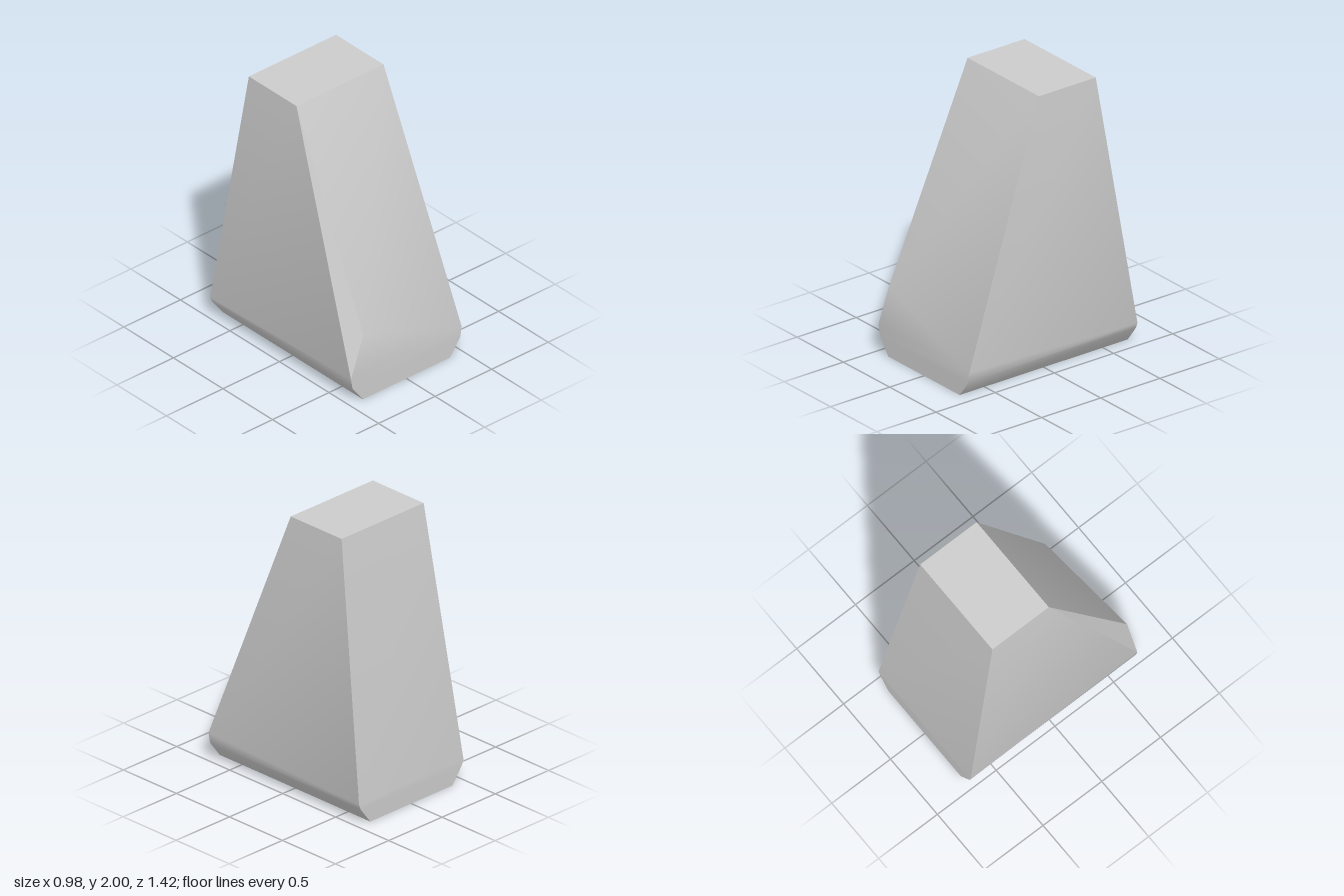
import * as THREE from 'three';
import { toCreasedNormals } from 'three/addons/utils/BufferGeometryUtils.js';

// Each ring: half width, front z, back z, front y, back y
const RINGS = [
  [0.385, 0.71, -0.71, 0, 0],
  [0.475, 0.71, -0.71, 0.12, 0.12],
  [0.49, 0.71, -0.71, 0.2, 0.16],
  [0.385, 0.04, -0.44, 2, 2],
];

export function createModel() {
  const stone = new THREE.MeshStandardMaterial({ color: 0xcccccc });
  stone.name = 'lightGrey';

  // Four corners per ring, anticlockwise seen from above, starting front +x
  const points = [];
  for (const [w, zf, zb, yf, yb] of RINGS) {
    points.push(w, yf, zf, w, yb, zb, -w, yb, zb, -w, yf, zf);
  }
  // Extra point of the chipped front corner
  const chip = points.length / 3;
  points.push(-0.38, 0.51, 0.71);

  const faces = [0, 2, 1, 0, 3, 2]; // underside
  const last = RINGS.length - 1;
  for (let r = 0; r < last; r++) {
    for (let i = 0; i < 4; i++) {
      const a = r * 4 + i, b = r * 4 + (i + 1) % 4;
      const c = b + 4, d = a + 4;
      if (r === last - 1 && i === 3) {
        // sloping front, with the chipped corner
        faces.push(a, b, chip, chip, b, c, chip, c, d, a, chip, d);
      } else {
        faces.push(a, b, c, a, c, d);
      }
    }
  }
  const t = last * 4;
  faces.push(t, t + 1, t + 2, t, t + 2, t + 3); // flat top

  const geometry = new THREE.BufferGeometry();
  geometry.setAttribute('position', new THREE.Float32BufferAttribute(points, 3));
  geometry.setIndex(faces);

  // Soft bevels and front bend, sharp main edges
  const block = new THREE.Mesh(toCreasedNormals(geometry, THREE.MathUtils.degToRad(30)), stone);
  block.name = 'taperedBlock';

  const group = new THREE.Group();
  group.name = 'taperedStone';
  group.add(block);
  return group;
}
